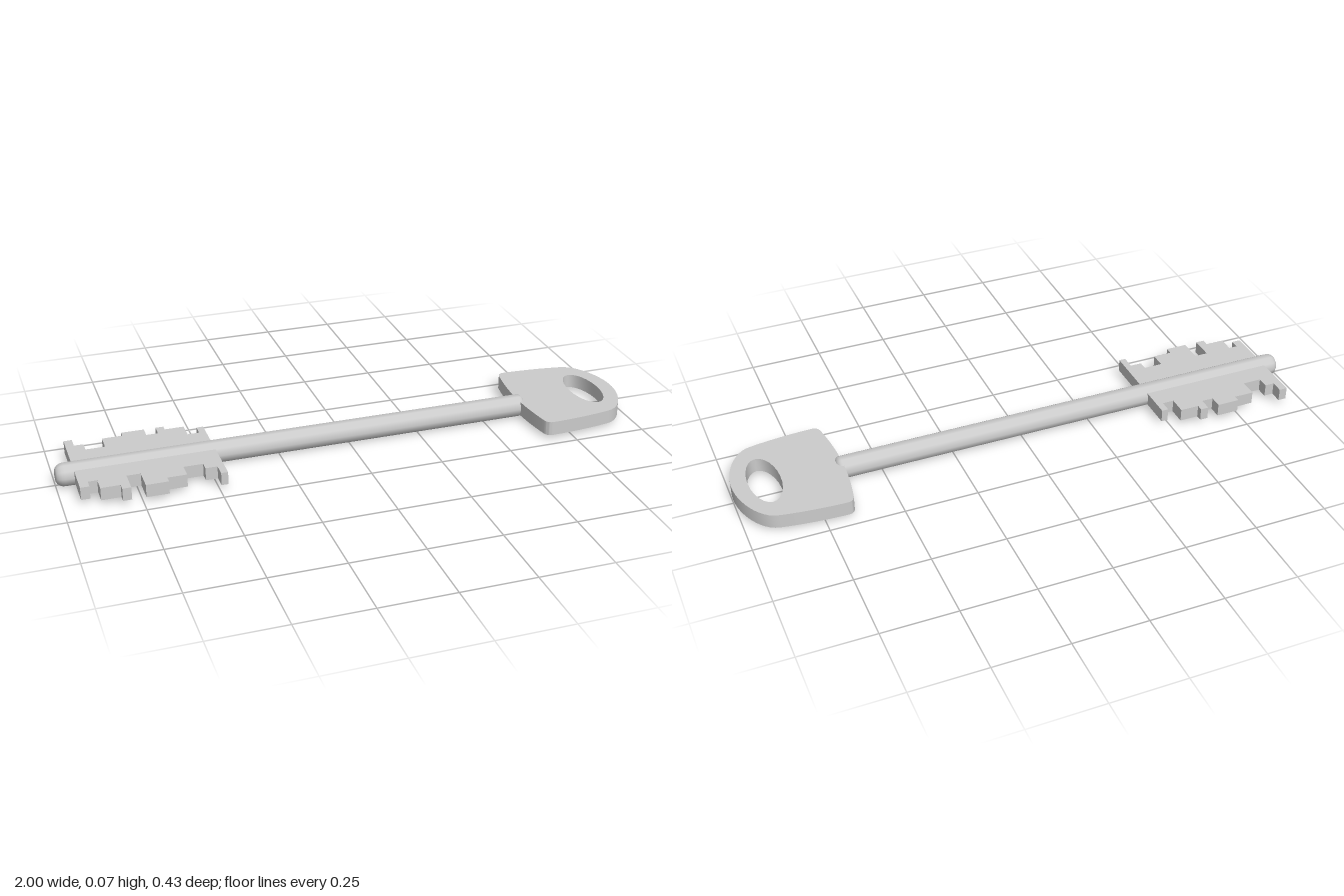
import * as THREE from 'three';
import { toCreasedNormals } from 'three/addons/utils/BufferGeometryUtils.js';

const material = new THREE.MeshStandardMaterial({ color: 0xcccccc });

// Flat plate drawn in x/z, spanning the given heights
function plate(name, shape, bottom, top) {
  const geo = new THREE.ExtrudeGeometry(shape, { depth: top - bottom, bevelEnabled: false, curveSegments: 12 });
  geo.rotateX(Math.PI / 2).translate(0, top, 0);
  const mesh = new THREE.Mesh(toCreasedNormals(geo, 0.6), material);
  mesh.name = name;
  return mesh;
}

export function createModel() {
  const key = new THREE.Group();
  key.name = 'key';

  // Shaft: ten-sided rod with rounded ends
  const R = 0.0394, profile = [];
  const roundEnd = (x, dir, length) => {
    const pts = [];
    for (let i = 0; i <= 5; i++) {
      const a = (i / 5) * Math.PI / 2;
      pts.push(new THREE.Vector2(0.012 * (i > 0) + (R - 0.012) * Math.sin(a), x - dir * length * (1 - Math.cos(a))));
    }
    return pts;
  };
  const tip = roundEnd(-1, -1, 0.03).map((p) => p);
  const butt = roundEnd(0.655, 1, 0.02).reverse();
  profile.push(...tip, ...butt);
  const shaftGeo = new THREE.LatheGeometry(profile, 10);
  shaftGeo.rotateZ(-Math.PI / 2).translate(0, 0.0375, 0.003);
  const shaft = new THREE.Mesh(shaftGeo, material);
  shaft.name = 'shaft';
  key.add(shaft);

  // Bit: each tooth is [end x, z], stepped along both edges
  const start = -0.94;
  const backTeeth = [
    [-0.912, -0.185], [-0.88, -0.142], [-0.815, -0.102], [-0.746, -0.163], [-0.668, -0.185], [-0.628, -0.142],
    [-0.6, -0.185], [-0.535, -0.163], [-0.495, -0.102], [-0.472, -0.142],
  ];
  const frontTeeth = [
    [-0.91, 0.152], [-0.88, 0.12], [-0.815, 0.174], [-0.786, 0.2], [-0.74, 0.12], [-0.665, 0.2],
    [-0.6, 0.174], [-0.535, 0.12], [-0.495, 0.152], [-0.472, 0.2],
  ];
  const steps = (teeth) => teeth.flatMap(([x, z], i) => [
    new THREE.Vector2(i ? teeth[i - 1][0] : start, z), new THREE.Vector2(x, z),
  ]);
  const bitShape = new THREE.Shape([...steps(backTeeth), ...steps(frontTeeth).reverse()]);
  key.add(plate('bit', bitShape, 0.017, 0.061));

  // Bow: rounded handle with an oval hole
  const bow = new THREE.Shape();
  bow.moveTo(0.631, 0);
  bow.quadraticCurveTo(0.632, -0.1, 0.65, -0.192);
  bow.quadraticCurveTo(0.655, -0.213, 0.675, -0.213);
  bow.quadraticCurveTo(0.79, -0.211, 0.895, -0.192);
  bow.bezierCurveTo(0.955, -0.182, 1, -0.08, 1, 0);
  bow.bezierCurveTo(1, 0.08, 0.955, 0.182, 0.895, 0.192);
  bow.quadraticCurveTo(0.79, 0.211, 0.675, 0.213);
  bow.quadraticCurveTo(0.655, 0.213, 0.65, 0.192);
  bow.quadraticCurveTo(0.632, 0.1, 0.631, 0);
  const hole = new THREE.Path();
  hole.absellipse(0.893, 0, 0.054, 0.12, 0, Math.PI * 2, true);
  bow.holes.push(hole);
  key.add(plate('bow', bow, 0.0135, 0.063));

  return key;
}
